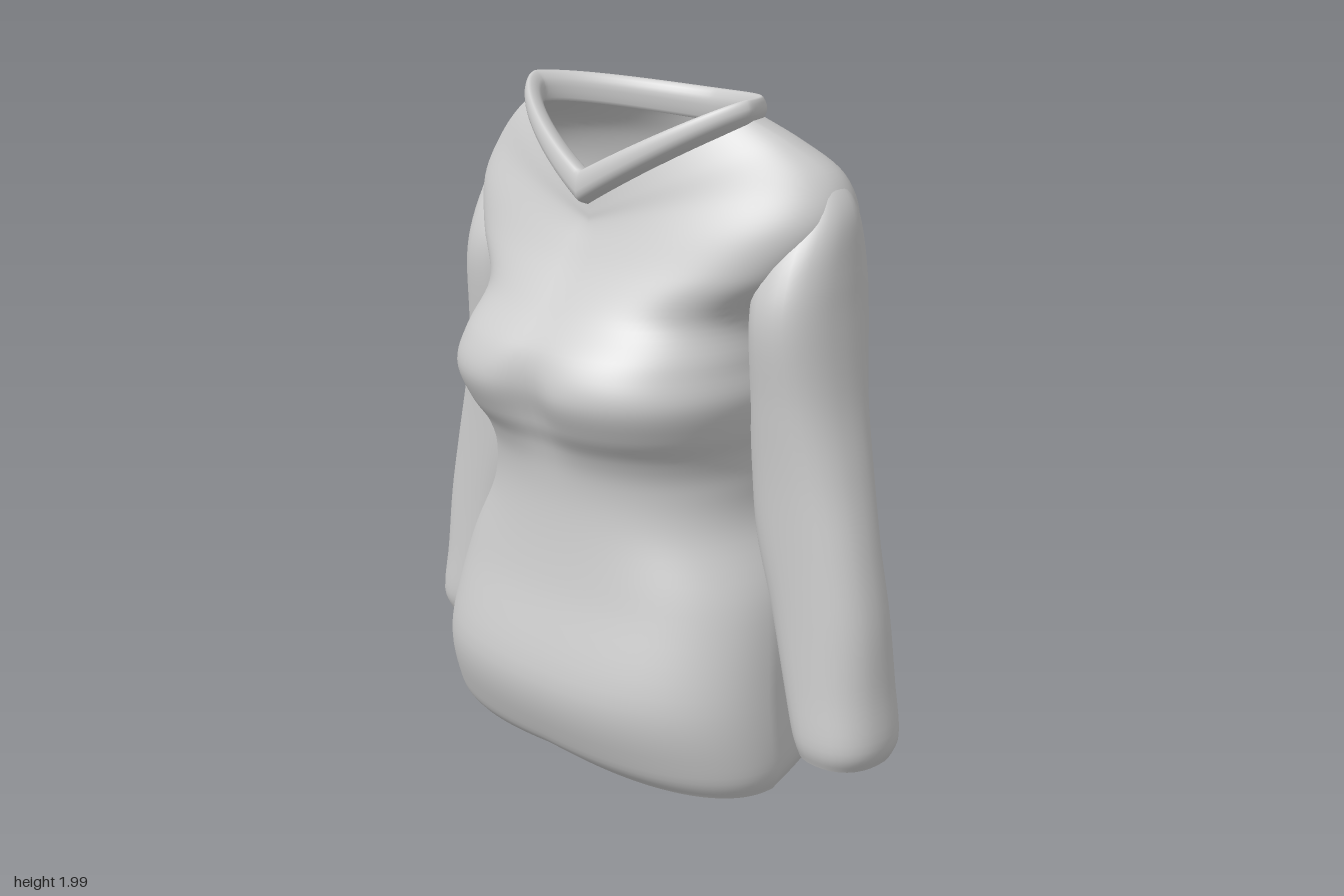
import * as THREE from 'three';

const cloth = new THREE.MeshStandardMaterial({ color: 0xcccccc, side: THREE.DoubleSide });
cloth.name = 'grey cloth';

// Smoothly interpolate every column of a table of rows, t in 0..1
function sample(rows, t) {
  const f = t * (rows.length - 1), i = Math.min(Math.floor(f), rows.length - 2), k = f - i;
  const at = j => rows[Math.max(0, Math.min(rows.length - 1, j))];
  return rows[i].map((b, c) => {
    const a = at(i - 1)[c], d = at(i + 1)[c], e = at(i + 2)[c];
    return b + 0.5 * k * (d - a + k * (2 * a - 5 * b + 4 * d - e + k * (3 * (b - d) + e - a)));
  });
}

// Skin closed rings: point(row, angle) gives [x, y, z]
function loft(name, rows, point, around, along) {
  const pos = [], index = [];
  for (let j = 0; j <= along; j++) {
    const row = sample(rows, j / along);
    for (let i = 0; i < around; i++) pos.push(...point(row, (i / around) * Math.PI * 2));
  }
  for (let j = 0; j < along; j++) {
    for (let i = 0; i < around; i++) {
      const a = j * around + i, b = j * around + (i + 1) % around;
      index.push(a, a + around, b, b, a + around, b + around);
    }
  }
  const g = new THREE.BufferGeometry();
  g.setAttribute('position', new THREE.Float32BufferAttribute(pos, 3));
  g.setIndex(index);
  g.computeVertexNormals();
  const mesh = new THREE.Mesh(g, cloth);
  mesh.name = name;
  return mesh;
}

const bump = (v, centre, width) => Math.exp(-(((v - centre) / width) ** 2));
const squared = (v, n) => Math.sign(v) * Math.abs(v) ** (2 / n);

// Ring with separate side, front and back heights, depths and squareness
function bodyPoint([sideY, w, frontY, frontZ, backY, backZ, midZ, frontN, backN], a) {
  const c = Math.cos(a), s = Math.sin(a), front = s > 0;
  const n = front ? frontN : backN;
  const x = squared(c, n), depth = Math.abs(squared(s, n));
  const blend = front ? 1 - Math.abs(x) : s * s;
  return [
    w * x,
    sideY + ((front ? frontY : backY) - sideY) * blend,
    midZ + ((front ? frontZ : backZ) - midZ) * depth,
  ];
}

// Torso ring: seat narrowing to the back, chest dip, spine groove and back crease
function torsoPoint(row, a) {
  const p = bodyPoint(row, a);
  const [x, y] = p;
  if (Math.sin(a) > 0) {
    p[2] -= 0.04 * bump(x, 0, 0.1) * bump(y, 1.17, 0.13);
  } else {
    const midZ = row[6], depth = (p[2] - midZ) / (row[5] - midZ);
    p[0] *= 1 - 0.3 * depth * bump(y, 0.15, 0.45);
    p[2] += 0.055 * bump(x, 0, 0.04) * bump(y, 0.2, 0.2);
    p[2] += 0.02 * bump(x, 0, 0.07) * bump(y, 1.5, 0.25);
  }
  return p;
}

// sideY, half width, frontY, frontZ, backY, backZ, midZ, front and back squareness
const torsoRows = [
  [0.05, 0.60, 0.085, 0.40, 0.01, -0.46, 0.10, 2.3, 3.4],
  [0.13, 0.625, 0.14, 0.45, 0.13, -0.51, 0.10, 2.3, 3.6],
  [0.33, 0.61, 0.33, 0.50, 0.33, -0.49, 0.10, 2.35, 3.5],
  [0.60, 0.56, 0.60, 0.435, 0.60, -0.435, 0.06, 2.35, 2.8],
  [0.80, 0.465, 0.80, 0.405, 0.80, -0.44, 0.02, 2.4, 2.3],
  [0.93, 0.45, 0.93, 0.405, 0.93, -0.485, 0, 2.4, 2.2],
  [1.02, 0.46, 1.02, 0.43, 1.02, -0.51, 0, 2.5, 2.2],
  [1.10, 0.485, 1.10, 0.48, 1.10, -0.475, 0.02, 2.6, 2.2],
  [1.20, 0.505, 1.20, 0.52, 1.20, -0.44, 0.03, 2.6, 2.2],
  [1.30, 0.49, 1.30, 0.49, 1.30, -0.425, 0.02, 2.5, 2.3],
  [1.42, 0.49, 1.40, 0.395, 1.42, -0.405, -0.02, 2.4, 2.4],
  [1.55, 0.61, 1.50, 0.315, 1.55, -0.37, -0.05, 2.4, 2.5],
  [1.68, 0.67, 1.58, 0.265, 1.68, -0.33, -0.06, 2.2, 2.4],
  [1.80, 0.635, 1.63, 0.24, 1.77, -0.305, -0.06, 1.9, 2.1],
  [1.885, 0.53, 1.66, 0.235, 1.84, -0.285, -0.01, 1.7, 1.8],
  [1.945, 0.41, 1.70, 0.23, 1.90, -0.27, 0.03, 1.55, 1.55],
];

// Rolled band: outside, over the top, inside, back to the start
const collarRows = [
  [1.925, 0.415, 1.685, 0.24, 1.885, -0.285, 0.04, 1.55, 1.55],
  [1.965, 0.435, 1.71, 0.285, 1.915, -0.305, 0.05, 1.55, 1.55],
  [1.998, 0.42, 1.78, 0.275, 1.955, -0.28, 0.05, 1.55, 1.55],
  [1.965, 0.39, 1.765, 0.22, 1.92, -0.255, 0.04, 1.55, 1.55],
  [1.91, 0.39, 1.71, 0.205, 1.86, -0.265, 0.04, 1.55, 1.55],
  [1.925, 0.415, 1.685, 0.24, 1.885, -0.285, 0.04, 1.55, 1.55],
];

// y, inner x, outer x, front z, back z
const sleeveRows = [
  [0.185, 0.645, 0.885, 0.11, -0.15],
  [0.25, 0.625, 0.908, 0.13, -0.165],
  [0.40, 0.58, 0.89, 0.125, -0.165],
  [0.60, 0.525, 0.87, 0.12, -0.155],
  [0.80, 0.465, 0.83, 0.12, -0.155],
  [1.00, 0.445, 0.78, 0.125, -0.18],
  [1.20, 0.45, 0.735, 0.14, -0.20],
  [1.42, 0.46, 0.71, 0.16, -0.22],
  [1.56, 0.46, 0.70, 0.125, -0.21],
  [1.70, 0.46, 0.687, 0.045, -0.17],
  [1.78, 0.50, 0.645, 0.0, -0.13],
  [1.81, 0.54, 0.59, -0.04, -0.08],
];

const sleevePoint = side => ([y, xIn, xOut, zF, zB], a) => [
  side * (xIn + xOut) / 2 + (xOut - xIn) / 2 * squared(Math.cos(a), 2.3),
  y,
  (zF + zB) / 2 + (zF - zB) / 2 * squared(Math.sin(a), 2.3),
];

export function createModel() {
  const sweater = new THREE.Group();
  sweater.name = 'sweater';
  sweater.add(loft('torso', torsoRows, torsoPoint, 128, 90));
  sweater.add(loft('collar', collarRows, bodyPoint, 96, 20));
  sweater.add(loft('leftSleeve', sleeveRows, sleevePoint(1), 32, 55));
  sweater.add(loft('rightSleeve', sleeveRows, sleevePoint(-1), 32, 55));
  return sweater;
}
